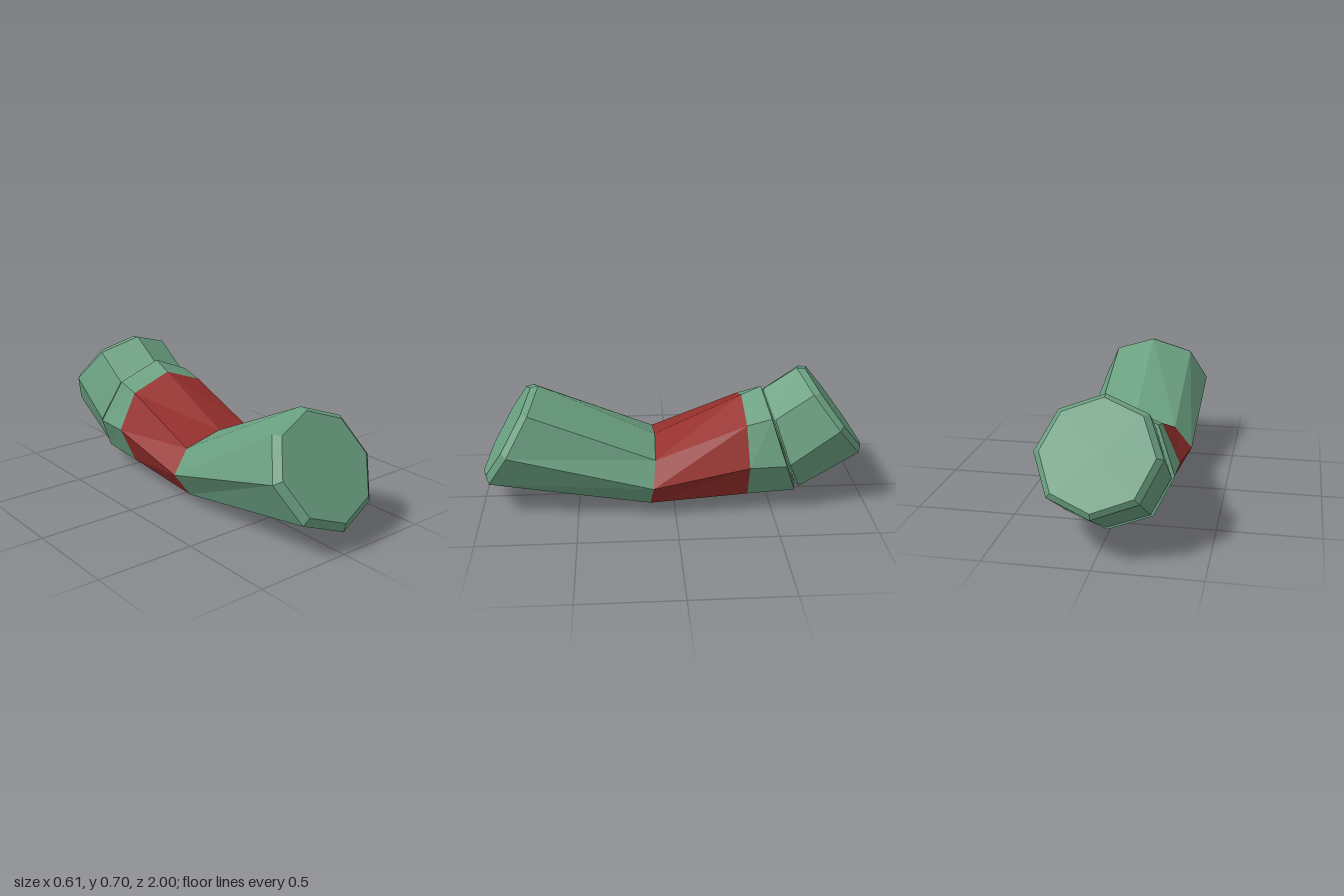
import * as THREE from 'three';

const green = new THREE.MeshStandardMaterial({ color: 0x6a9f80, flatShading: true });
const red = new THREE.MeshStandardMaterial({ color: 0x962f2c, flatShading: true });
const SIDES = 8;

// Octagonal ring standing on a slanted plane: top, middle and bottom are [z, y]
function ring(top, mid, bottom, halfWidth) {
  const points = [];
  for (let i = 0; i < SIDES; i++) {
    const a = (i / SIDES) * Math.PI * 2;
    const end = Math.cos(a) >= 0 ? top : bottom;
    const k = Math.abs(Math.cos(a));
    points.push(new THREE.Vector3(
      halfWidth * Math.sin(a),
      mid[1] + (end[1] - mid[1]) * k,
      mid[0] + (end[0] - mid[0]) * k
    ));
  }
  return points;
}

// Skin the rings from front to back, with optional flat end caps
function loft(name, material, rings, capFront, capBack) {
  const pos = [];
  const tri = (...pts) => pts.forEach((p) => pos.push(p.x, p.y, p.z));
  const centre = (r) => r[0].clone().add(r[SIDES / 2]).multiplyScalar(0.5);
  const first = rings[0], last = rings[rings.length - 1];
  for (let j = 0; j < SIDES; j++) {
    const n = (j + 1) % SIDES;
    for (let i = 0; i < rings.length - 1; i++) {
      const a = rings[i], b = rings[i + 1];
      tri(a[j], a[n], b[j]);
      tri(a[n], b[n], b[j]);
    }
    if (capFront) tri(centre(first), first[n], first[j]);
    if (capBack) tri(centre(last), last[j], last[n]);
  }
  const geometry = new THREE.BufferGeometry();
  geometry.setAttribute('position', new THREE.Float32BufferAttribute(pos, 3));
  geometry.computeVertexNormals();
  const mesh = new THREE.Mesh(geometry, material);
  mesh.name = name;
  return mesh;
}

export function createModel() {
  const group = new THREE.Group();
  group.name = 'bentCapsule';

  // Rings shared by neighbouring sections
  const bend = ring([0.095, 0.345], [0.115, 0.178], [0.135, 0], 0.305);
  const bandEnd = ring([-0.355, 0.555], [-0.37, 0.28], [-0.375, 0.01], 0.305);

  // Front arm with chamfered end
  group.add(loft('frontArm', green, [
    ring([0.725, 0.62], [0.863, 0.388], [1, 0.157], 0.268),
    ring([0.685, 0.63], [0.838, 0.37], [0.99, 0.11], 0.305),
    bend,
  ], true, false));

  // Coloured middle band
  group.add(loft('middleBand', red, [bend, bandEnd], false, false));

  // Collar behind the band, with a narrow lip at the joint
  group.add(loft('collar', green, [
    bandEnd,
    ring([-0.455, 0.6], [-0.555, 0.285], [-0.645, 0.03], 0.305),
    ring([-0.463, 0.577], [-0.56, 0.29], [-0.642, 0.06], 0.28),
  ], false, true));

  // Separate rear cap with chamfered end
  group.add(loft('rearCap', green, [
    ring([-0.468, 0.575], [-0.566, 0.289], [-0.645, 0.07], 0.275),
    ring([-0.474, 0.588], [-0.575, 0.285], [-0.672, 0.052], 0.293),
    ring([-0.637, 0.696], [-0.815, 0.465], [-0.993, 0.237], 0.293),
    ring([-0.68, 0.692], [-0.84, 0.48], [-1, 0.27], 0.262),
  ], true, true));

  return group;
}
